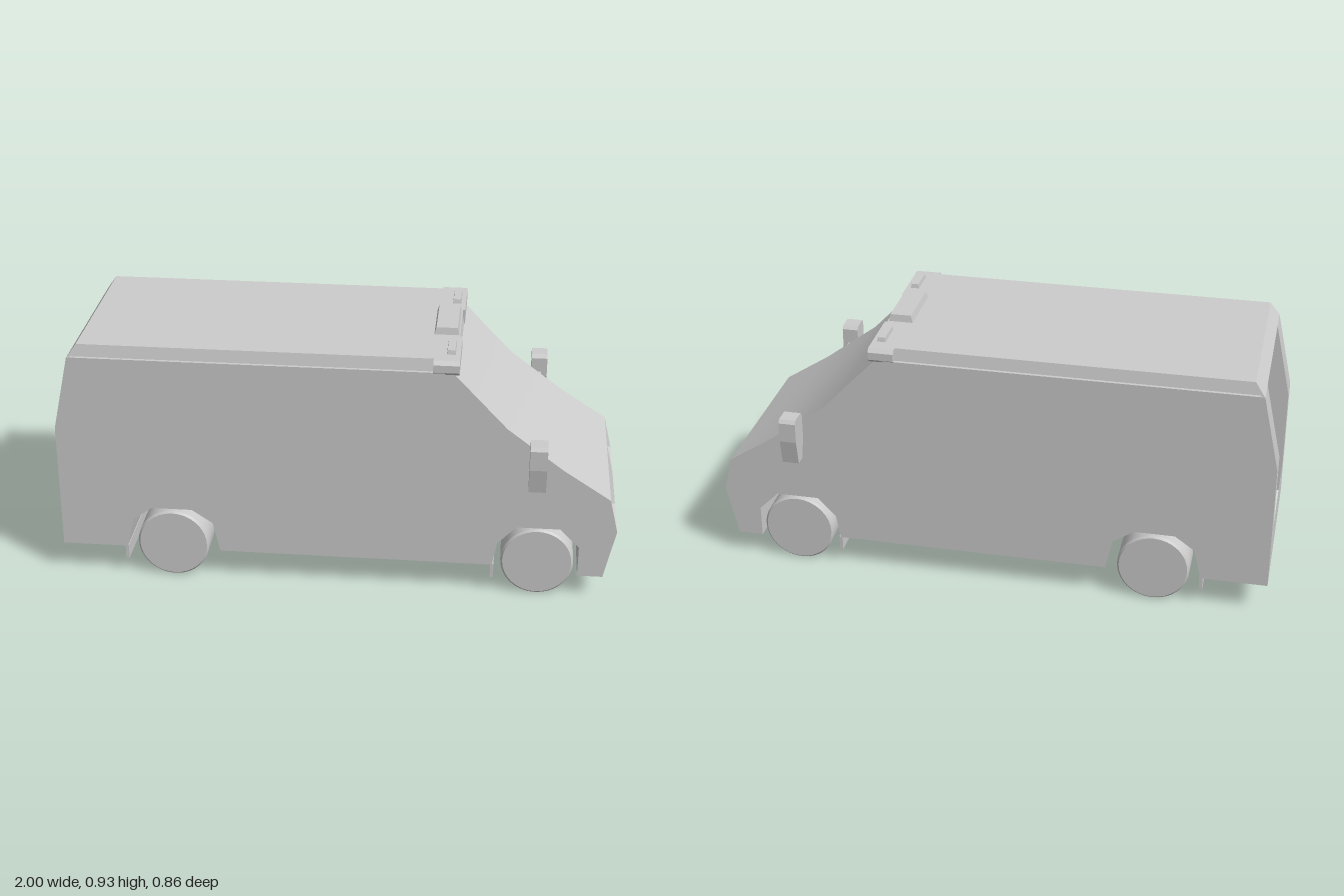
import * as THREE from 'three';
import { toCreasedNormals } from 'three/addons/utils/BufferGeometryUtils.js';

const W = 0.335; // half width of the body
const skin = new THREE.MeshStandardMaterial({ color: 0xcccccc, side: THREE.DoubleSide });
const solid = new THREE.MeshStandardMaterial({ color: 0xcccccc });

// Side profile [x, y], from the rear roof edge over the nose and back underneath
const PROFILE = [
  [-0.94, 0.855], [0.41, 0.855], [0.6, 0.655], [0.8, 0.505], [0.97, 0.395],
  [1, 0.27], [0.965, 0.11], [0.96, 0.085], [0.87, 0.085], [0.87, 0.2],
  [0.8, 0.27], [0.645, 0.27], [0.58, 0.2], [0.565, 0.112], [-0.42, 0.112],
  [-0.445, 0.225], [-0.52, 0.275], [-0.665, 0.275], [-0.735, 0.225], [-0.762, 0.112],
  [-1, 0.112], [-1, 0.58],
];
const NOSE = 4, REAR_FLOOR = 19, BACK = 20;

function add(parent, name, geometry, material = solid) {
  const mesh = new THREE.Mesh(geometry, material);
  mesh.name = name;
  parent.add(mesh);
  return mesh;
}

function box(parent, name, x0, x1, y0, y1, z0, z1) {
  const mesh = add(parent, name, new THREE.BoxGeometry(x1 - x0, y1 - y0, z1 - z0));
  mesh.position.set((x0 + x1) / 2, (y0 + y1) / 2, (z0 + z1) / 2);
  return mesh;
}

// Box whose top face is drawn in: back, front and sides
function taperedBox(parent, name, x0, x1, y0, y1, z0, z1, back, front, side) {
  const mesh = box(parent, name, x0, x1, y0, y1, z0, z1);
  const p = mesh.geometry.attributes.position;
  for (let i = 0; i < p.count; i++) {
    if (p.getY(i) < 0) continue;
    p.setX(i, p.getX(i) + (p.getX(i) < 0 ? back : -front));
    p.setZ(i, p.getZ(i) - Math.sign(p.getZ(i)) * side);
  }
  mesh.geometry = toCreasedNormals(mesh.geometry, 0.1);
  return mesh;
}

// Surface from quads, each given as four corners counter-clockwise
function quadSurface(quads) {
  const points = quads.flatMap(([a, b, c, d]) => [a, b, c, a, c, d]).flat();
  const g = new THREE.BufferGeometry();
  g.setAttribute('position', new THREE.Float32BufferAttribute(points, 3));
  g.computeVertexNormals();
  return toCreasedNormals(g, 0.4);
}

// Strip across the body between two profile points
const strip = (a, b, z0 = -W, z1 = W) => [[...a, z1], [...b, z1], [...b, z0], [...a, z0]];

function buildBody(group) {
  const n = PROFILE.length;
  const quads = [];
  PROFILE.forEach((a, i) => {
    const b = PROFILE[(i + 1) % n];
    if (i === REAR_FLOOR) return;
    if (i === NOSE) quads.push(strip(a, b, -0.125, 0.125));
    else if (i >= BACK) {
      // posts either side of the open rear
      quads.push(strip(a, b, -W, -0.235), strip(a, b, 0.235, W));
    } else quads.push(strip(a, b));
  });
  quads.push(strip([-1, 0.112], [-1, 0.3], -0.235, 0.235)); // rear sill
  add(group, 'bodyShell', quadSurface(quads), skin);
  add(group, 'rearFloor', quadSurface([strip(PROFILE[REAR_FLOOR], PROFILE[BACK])]));

  const side = new THREE.ShapeGeometry(new THREE.Shape(PROFILE.map(p => new THREE.Vector2(...p))));
  for (const s of [1, -1]) {
    add(group, s > 0 ? 'sidePanelNear' : 'sidePanelFar', side, skin).position.z = s * W;
  }
}

// Recessed headlight: four bevels and a flat lens
function buildHeadlight(group, s) {
  const [a, b] = [PROFILE[NOSE], PROFILE[NOSE + 1]];
  const up = new THREE.Vector2(a[0] - b[0], a[1] - b[1]).normalize();
  const inward = new THREE.Vector2(-up.y, up.x).multiplyScalar(0.012);
  const zs = s > 0 ? [0.125, W] : [-W, -0.125];
  const inset = 0.01;
  const at = (p, k) => [p[0] + up.x * k * inset + inward.x, p[1] + up.y * k * inset - Math.abs(inward.y)];
  const outer = strip(a, b, ...zs);
  const lens = strip(at(a, -1), at(b, 1), zs[0] + inset, zs[1] - inset);
  const quads = [lens];
  for (let i = 0; i < 4; i++) {
    const j = (i + 1) % 4;
    quads.push([outer[i], outer[j], lens[j], lens[i]]);
  }
  add(group, 'headlight', quadSurface(quads), skin);
}

function buildRoof(group) {
  taperedBox(group, 'roof', -0.94, 0.42, 0.855, 0.905, -W, W, 0.035, 0, 0.012);
  taperedBox(group, 'roofPod', 0.315, 0.425, 0.855, 0.93, -0.123, 0.123, 0.02, 0.015, 0.015);
  for (const s of [1, -1]) {
    const z = s * 0.337;
    box(group, 'roofRail', -0.925, 0.38, 0.848, 0.862, z - 0.008, z + 0.008);
    taperedBox(group, 'roofLamp', 0.38, 0.412, 0.9, 0.92, s * 0.232 - 0.053, s * 0.232 + 0.053, 0.003, 0.003, 0.005);

    // chamfered brow corner above the windscreen, section drawn in z and y
    const section = [[0.122, 0.852], [0.335, 0.852], [0.35, 0.865], [0.35, 0.892], [0.337, 0.905], [0.122, 0.905]];
    const shape = new THREE.Shape(section.map(([w, y]) => new THREE.Vector2(-s * w, y)));
    const g = new THREE.ExtrudeGeometry(shape, { depth: 0.09, bevelEnabled: false });
    g.rotateY(Math.PI / 2).translate(0.338, 0, 0);
    add(group, 'roofBrow', g);
  }
}

function buildWheel(group, x, s) {
  // rounded tread with flat faces
  const profile = [[0, -0.065], [0.123, -0.065], [0.13, -0.058], [0.13, 0.058], [0.123, 0.065], [0, 0.065]];
  const g = new THREE.LatheGeometry(profile.map(p => new THREE.Vector2(...p)), 32);
  const wheel = add(group, x > 0 ? 'frontWheel' : 'rearWheel', toCreasedNormals(g.rotateX(Math.PI / 2), 0.5), skin);
  wheel.position.set(x, 0.133, s * 0.27);
}

function buildMirror(group, s) {
  const outline = [[0.372, 0.458], [0.416, 0.458], [0.432, 0.55], [0.432, 0.622], [0.422, 0.635],
    [0.365, 0.635], [0.353, 0.622], [0.353, 0.55]];
  const shape = new THREE.Shape(outline.map(([w, y]) => new THREE.Vector2(-s * w, y)));
  const g = new THREE.ExtrudeGeometry(shape, { depth: 0.06, bevelEnabled: false });
  add(group, 'wingMirror', g.rotateY(Math.PI / 2).translate(0.68, 0, 0));
  box(group, 'mirrorArm', 0.698, 0.718, 0.555, 0.567, s * 0.345 - 0.02, s * 0.345 + 0.02);
}

export function createModel() {
  const van = new THREE.Group();
  van.name = 'van';
  buildBody(van);
  buildRoof(van);
  for (const s of [1, -1]) {
    buildHeadlight(van, s);
    buildMirror(van, s);
    for (const x of [-0.592, 0.724]) buildWheel(van, x, s);
  }
  // full-width flaps behind the wheels
  for (const x of [-0.765, 0.565]) box(van, 'mudFlap', x - 0.006, x + 0.006, 0.06, 0.115, -W, W);
  return van;
}
